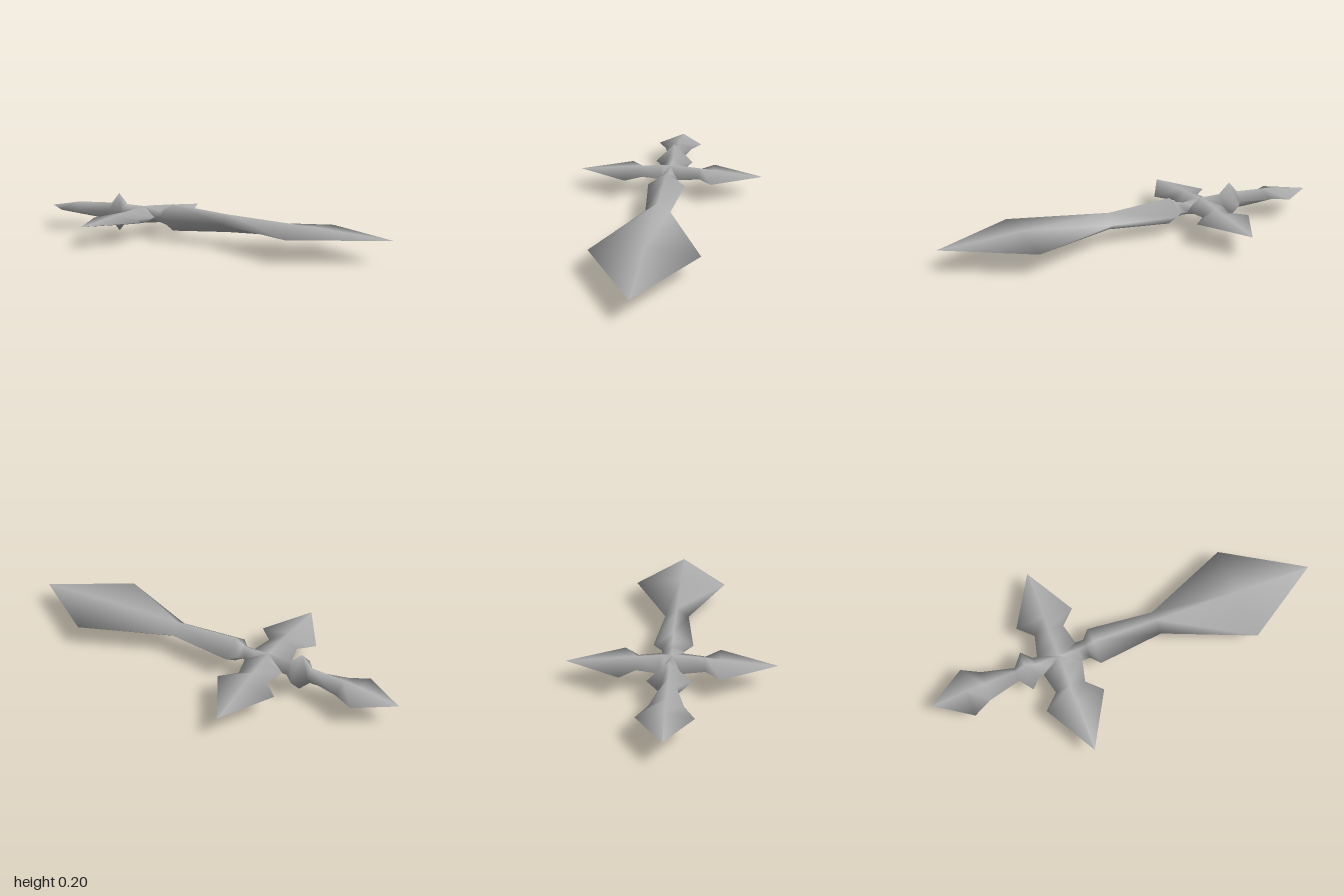
import * as THREE from 'three';

// Smooth diamond-section loft along +x; each station is [x, halfWidth, halfHeight]
function diamondLoft(stations) {
  const pos = [], index = [];
  stations.forEach(([x, w, h], i) => {
    pos.push(x, h, 0, x, 0, w, x, -h, 0, x, 0, -w);
    if (i === stations.length - 1) return;
    for (let k = 0; k < 4; k++) {
      const a = i * 4 + k, b = i * 4 + (k + 1) % 4;
      index.push(a, b, b + 4, a, b + 4, a + 4);
    }
  });
  const geo = new THREE.BufferGeometry();
  geo.setAttribute('position', new THREE.Float32BufferAttribute(pos, 3));
  geo.setIndex(index);
  geo.computeVertexNormals();
  return geo;
}

export function createModel() {
  const model = new THREE.Group();
  model.name = 'ornateDagger';
  const steel = new THREE.MeshStandardMaterial({ color: 0xb0b0b0 });
  steel.name = 'grey steel';

  const add = (name, stations, turn = 0) => {
    const mesh = new THREE.Mesh(diamondLoft(stations), steel);
    mesh.name = name;
    mesh.position.set(-0.35, 0.1, 0);
    mesh.rotation.y = turn;
    model.add(mesh);
  };

  // Stations are measured outward from the centre of the cross
  add('blade', [
    [0, 0.05, 0.043], [0.10, 0.05, 0.032], [0.14, 0.05, 0.042], [0.18, 0.095, 0.068],
    [0.51, 0.06, 0.043], [0.95, 0.245, 0.025], [1.345, 0, 0],
  ]);

  // Short end with its collar and leaf-shaped point
  add('pommel', [
    [0, 0.05, 0.043], [0.12, 0.05, 0.045], [0.17, 0.1, 0.1], [0.22, 0.035, 0.045],
    [0.38, 0.075, 0.037], [0.47, 0.122, 0.03], [0.65, 0, 0],
  ], Math.PI);

  // Two matching arms of the guard
  const arm = [
    [0, 0.1, 0.043], [0.05, 0.1, 0.041], [0.155, 0.075, 0.032],
    [0.225, 0.147, 0.025], [0.485, 0, 0],
  ];
  add('frontGuardArm', arm, -Math.PI / 2);
  add('backGuardArm', arm, Math.PI / 2);

  return model;
}
